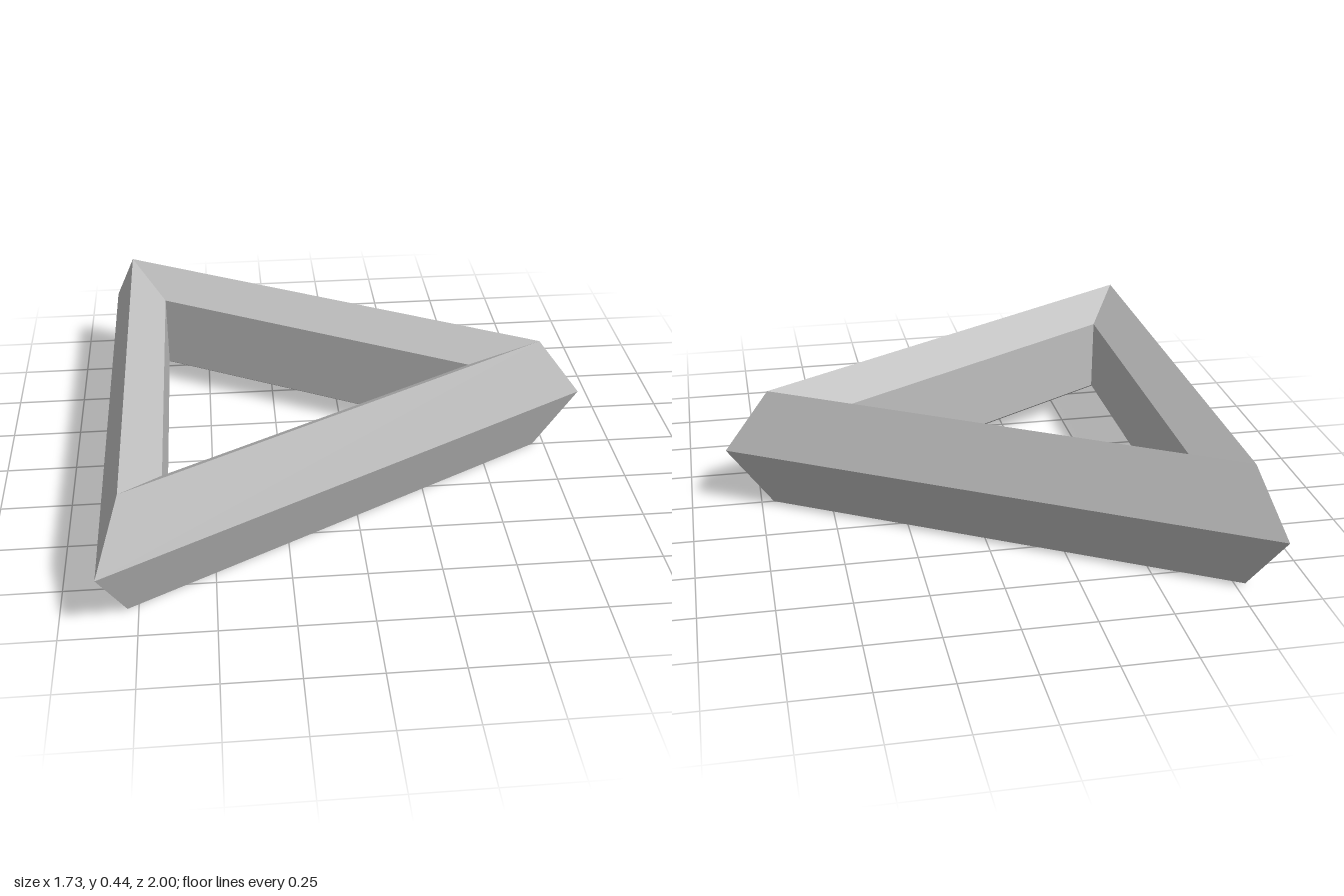
import * as THREE from 'three';

export function createModel() {
  const group = new THREE.Group();
  group.name = 'triangularRing';
  const grey = new THREE.MeshStandardMaterial({ color: 0xbfbfbf });
  grey.name = 'grey';

  // Three mitred bars with a pentagonal cross-section, point outward
  const tube = 0.23094;
  const ringRadius = tube * 4;
  const outer = ringRadius + tube;
  const geometry = new THREE.TorusGeometry(ringRadius, tube, 5, 3).toNonIndexed();
  geometry.rotateX(-Math.PI / 2);

  // Stand on the ground and centre the triangle's bounds
  geometry.translate(-outer / 4, tube * Math.sin(Math.PI * 0.4), 0);
  geometry.computeVertexNormals(); // faceted

  const ring = new THREE.Mesh(geometry, grey);
  ring.name = 'ringFrame';
  group.add(ring);
  return group;
}
